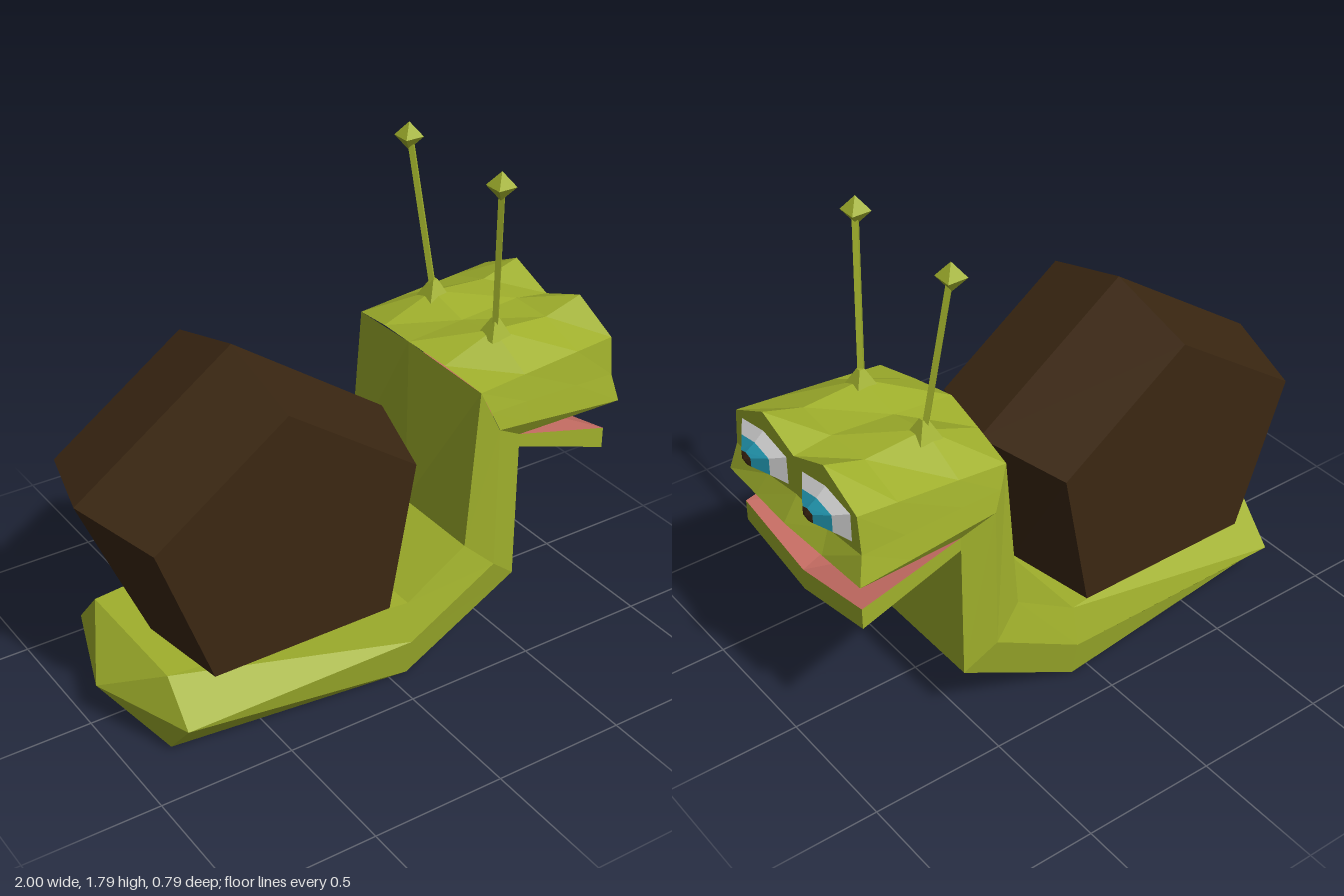
import * as THREE from 'three';

const GREEN = 0xa0b02c, SHELL = 0x3b2712, PINK = 0xc86e64;
const WHITE = 0xcccccc, TEAL = 0x1f8ea6, PUPIL = 0x3a2410;

const material = (color) => new THREE.MeshStandardMaterial({ color, flatShading: true });

function addMesh(parent, name, geometry, color) {
  const mesh = new THREE.Mesh(geometry, material(color));
  mesh.name = name;
  parent.add(mesh);
  return mesh;
}

// Faceted surface through rows of points, skipping collapsed triangles
function loft(rows, flip = false) {
  const out = [];
  const tri = (...p) => {
    const [a, b, c] = p.map((v) => new THREE.Vector3(...v));
    if (b.clone().sub(a).cross(c.clone().sub(a)).length() < 1e-7) return;
    out.push(...p[0], ...(flip ? [...p[2], ...p[1]] : [...p[1], ...p[2]]));
  };
  for (let i = 0; i + 1 < rows.length; i++) {
    for (let j = 0; j + 1 < rows[i].length; j++) {
      const a = rows[i][j], b = rows[i][j + 1], c = rows[i + 1][j + 1], d = rows[i + 1][j];
      tri(a, b, c);
      tri(a, c, d);
    }
  }
  const geometry = new THREE.BufferGeometry();
  geometry.setAttribute('position', new THREE.Float32BufferAttribute(out, 3));
  geometry.computeVertexNormals();
  return geometry;
}

const mirror = (p) => [p[0], p[1], -p[2]];
// Row from -z to +z, given its centre point followed by its +z points
const across = ([centre, ...side]) => [...side.map(mirror).reverse(), centre, ...side];
const closed = (row) => [...row, row[0]];

function addBody(group) {
  // Each section: top centre, top edge, widest edge, bottom edge
  const tip = [-0.97, 0.15, 0];
  const sections = [
    [tip, tip, tip, tip],
    [[-0.83, 0.3, 0], [-0.83, 0.3, 0.26], [-0.83, 0.15, 0.39], [-0.83, 0, 0.26]],
    [[0.07, 0.3, 0], [0.07, 0.3, 0.36], [0.07, 0.15, 0.39], [0.07, 0, 0.36]],
    [[0.31, 0.45, 0], [0.31, 0.45, 0.36], [0.42, 0.35, 0.39], [0.535, 0.25, 0.355]],
    [[0.31, 1.1, 0], [0.355, 1.05, 0.36], [0.42, 0.9, 0.39], [0.535, 0.83, 0.355]],
  ];
  addMesh(group, 'body', loft(sections.map((s) => closed(across(s)))), GREEN);
}

function addShell(group) {
  // Pentagon, widest in the middle and smaller at both sides
  const big = [[-0.4, 1.3], [0.2, 0.88], [0.06, 0.3], [-0.75, 0.3], [-1, 0.88]];
  const small = [[-0.4, 1.2], [0.1, 0.85], [0, 0.3], [-0.7, 0.3], [-0.9, 0.85]];
  const ring = (pts, z) => closed(pts.map(([x, y]) => [x, y, z]));
  const hub = (z) => Array(6).fill([-0.4, 0.7, z]);
  const rows = [hub(-0.35), ring(small, -0.35), ring(big, 0), ring(small, 0.35), hub(0.35)];
  addMesh(group, 'shell', loft(rows, true), SHELL);
}

function addHead(group) {
  const corner = [0.535, 0.83, 0.355];
  const lipSide = [0.945, 0.855, 0.395];
  // Crown, cheeks and lower bevel, from the back of the head to the brow
  const rows = [
    [[0.31, 1.1, 0], [0.333, 1.08, 0.18], [0.355, 1.05, 0.36], [0.39, 0.97, 0.378], [0.42, 0.9, 0.39], corner],
    [[0.54, 1.12, 0], [0.54, 1.16, 0.18], [0.54, 1.067, 0.36], [0.54, 0.97, 0.378], [0.55, 0.89, 0.392], corner],
    [[0.78, 1.14, 0], [0.77, 1.145, 0.18], [0.77, 1.087, 0.36], [0.76, 0.965, 0.378], [0.75, 0.872, 0.394], corner],
    [[0.92, 1.12, 0], [0.92, 1.19, 0.18], [0.92, 1.1, 0.36], [0.92, 0.96, 0.375], lipSide, lipSide],
  ];
  addMesh(group, 'head', loft(rows.map(across)), GREEN);

  // Face below the brow, flaring out to the upper lip
  const face = [
    [[0.92, 1.12, 0], [0.92, 1.19, 0.18], [0.92, 1.1, 0.36]],
    [[0.92, 0.97, 0], [0.92, 0.945, 0.18], [0.92, 0.96, 0.375]],
    [[0.975, 0.88, 0], [0.96, 0.868, 0.2], lipSide],
  ];
  addMesh(group, 'face', loft(face.map(across)), GREEN);

  const roof = [
    [[0.535, 0.83, 0], [0.535, 0.83, 0.18], corner],
    [[0.975, 0.88, 0], [0.96, 0.868, 0.2], lipSide],
  ];
  addMesh(group, 'mouthRoof', loft(roof.map(across), true), PINK);
}

function addJaw(group) {
  const back = { mid: [0.535, 0.83, 0], top: [0.535, 0.83, 0.355], low: [0.535, 0.78, 0.355], keel: [0.535, 0.77, 0] };
  const front = { mid: [0.92, 0.66, 0], top: [0.92, 0.73, 0.355], low: [0.92, 0.65, 0.355], keel: [0.92, 0.58, 0] };
  const under = (s) => [s.top, s.low, s.keel, mirror(s.low), mirror(s.top)];
  addMesh(group, 'jaw', loft([under(back), under(front)]), GREEN);
  addMesh(group, 'lowerLip', loft([across([front.mid, front.top]), across([front.keel, front.low])]), GREEN);
  addMesh(group, 'tongue', loft([across([back.mid, back.top]), across([front.mid, front.top])]), PINK);
}

function addEye(group, side) {
  const eye = new THREE.Group();
  eye.name = side > 0 ? 'rightEye' : 'leftEye';
  const hexagon = (x, w, h) => closed(
    [[-1, 0.67], [0, 1], [1, 0.67], [1, -0.67], [0, -1], [-1, -0.67]]
      .map(([z, y]) => [x, 1.035 + y * h, 0.185 * side + z * w]));
  const outer = hexagon(0.915, 0.145, 0.083), iris = hexagon(0.955, 0.085, 0.048);
  const pupil = hexagon(0.99, 0.029, 0.024);
  addMesh(eye, 'eyeWhite', loft([outer, iris]), WHITE);
  addMesh(eye, 'iris', loft([iris, pupil]), TEAL);
  addMesh(eye, 'pupil', loft([pupil, Array(7).fill([1, 1.035, 0.185 * side])]), PUPIL);
  group.add(eye);
}

function addAntenna(group, side) {
  const antenna = new THREE.Group();
  antenna.name = side > 0 ? 'rightAntenna' : 'leftAntenna';
  const start = new THREE.Vector3(0.545, 1.15, 0.18 * side);
  const end = new THREE.Vector3(0.485, 1.72, 0.257 * side);
  const dir = end.clone().sub(start);

  const stalk = addMesh(antenna, 'stalk', new THREE.CylinderGeometry(0.014, 0.014, dir.length(), 4), GREEN);
  stalk.position.copy(start).add(end).multiplyScalar(0.5);
  stalk.quaternion.setFromUnitVectors(new THREE.Vector3(0, 1, 0), dir.normalize());

  const base = addMesh(antenna, 'stalkBase', new THREE.CylinderGeometry(0.014, 0.062, 0.07, 4), GREEN);
  base.position.set(0.545, 1.17, 0.18 * side);
  base.rotation.y = Math.PI / 4;

  const bulb = addMesh(antenna, 'bulb', new THREE.OctahedronGeometry(0.052), GREEN);
  bulb.position.set(0.48, 1.738, 0.26 * side);
  bulb.rotation.y = Math.PI / 4;
  group.add(antenna);
}

export function createModel() {
  const group = new THREE.Group();
  group.name = 'snail';
  addBody(group);
  addShell(group);
  addHead(group);
  addJaw(group);
  for (const side of [-1, 1]) {
    addEye(group, side);
    addAntenna(group, side);
  }
  return group;
}
